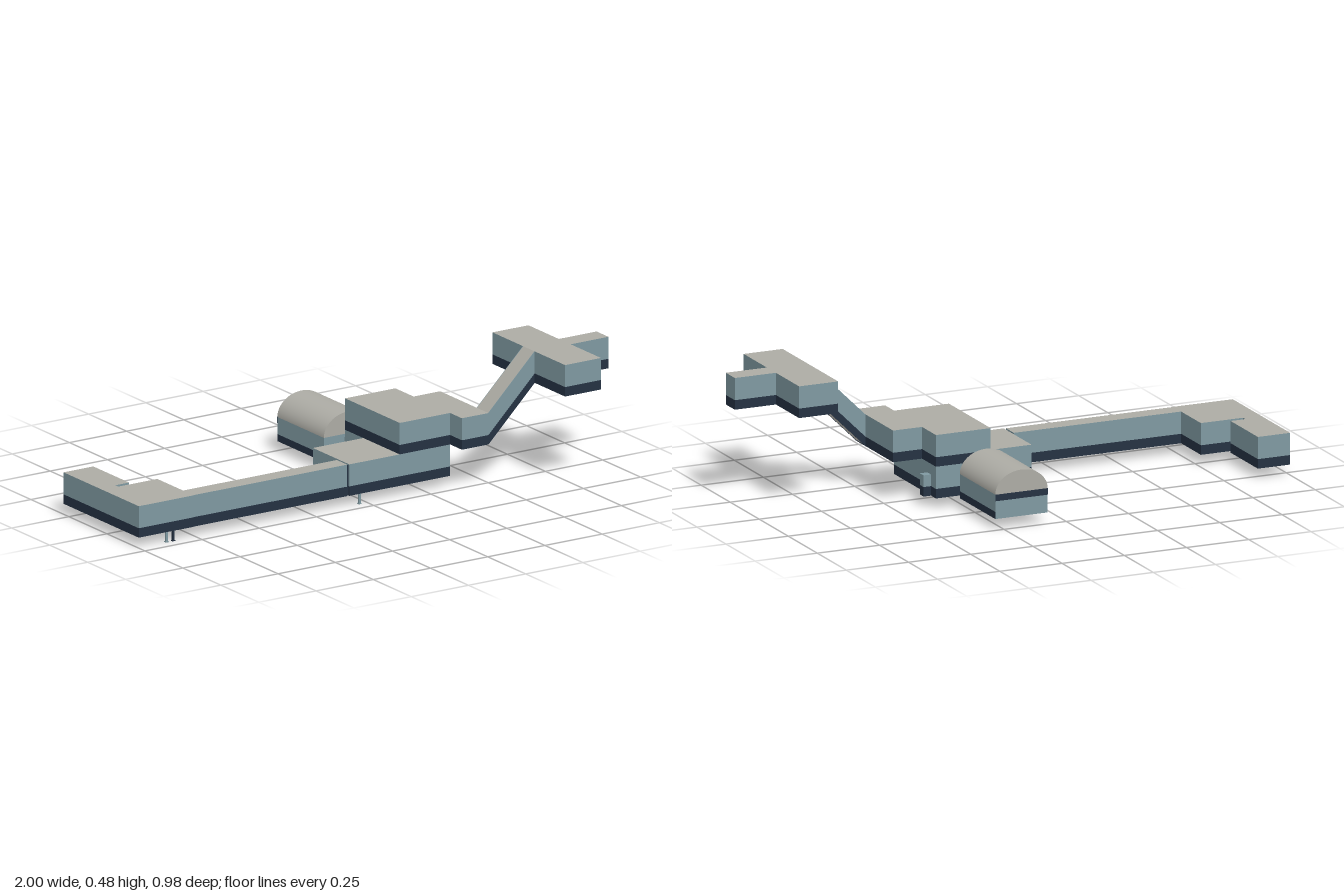
import * as THREE from 'three';

const mat = (name, color) => {
  const m = new THREE.MeshStandardMaterial({ color });
  m.name = name;
  return m;
};

export function createModel() {
  const wall = mat('blue grey wall', 0x7f99a1);
  const roof = mat('warm grey roof', 0xadaca5);
  const base = mat('navy base band', 0x243142);
  const model = new THREE.Group();

  const add = (name, geometry, material, parent = model) => {
    const mesh = new THREE.Mesh(geometry, material);
    mesh.name = name;
    parent.add(mesh);
    return mesh;
  };

  const box = (name, [x0, x1], [y0, y1], [z0, z1], material, parent) => {
    const mesh = add(name, new THREE.BoxGeometry(x1 - x0, y1 - y0, z1 - z0), material, parent);
    mesh.position.set((x0 + x1) / 2, (y0 + y1) / 2, (z0 + z1) / 2);
    return mesh;
  };

  // A flat-roofed block: navy band below, wall above, grey floor and roof
  const block = (name, x, z, y0, height = 0.12, top = roof) => {
    const group = new THREE.Group();
    group.name = name;
    model.add(group);
    const split = y0 + 0.036;
    box(name + 'Band', x, [y0, split], z, [base, base, base, roof, base, base], group);
    box(name + 'Wall', x, [split, y0 + height], z, [wall, wall, top, wall, wall, wall], group);
  };

  // Lower level
  const low = 0.04;
  block('endWing', [-1, -0.87], [-0.285, -0.05], low);
  block('endWingLink', [-1, -0.93], [-0.05, -0.03], low);
  block('endRoom', [-1, -0.76], [-0.03, 0.21], low);
  block('longCorridor', [-0.76, -0.088], [0.14, 0.208], low);
  box('corridorJoint', [-0.088, -0.08], [low, 0.155], [0.145, 0.203], base);
  block('mainRoom', [-0.08, 0.36], [-0.03, 0.21], low);
  block('mainRoomBack', [0.14, 0.36], [-0.15, -0.03], low);
  block('sideEntrance', [0.36, 0.39], [-0.108, -0.076], low, 0.08, wall);
  block('hangarLink', [0.16, 0.19], [-0.184, -0.15], low, 0.08, wall);

  // Middle level
  const mid = 0.16;
  block('upperRoom', [0.14, 0.36], [-0.15, 0.21], mid);
  block('upperRoomSide', [0.36, 0.476], [-0.03, 0.21], mid);
  block('stairLobby', [0.36, 0.476], [0.21, 0.288], mid);

  // Top level
  const high = 0.36;
  block('crossHall', [0.678, 0.835], [0.01, 0.488], high);
  block('crossArm', [0.835, 1], [0.21, 0.288], high);

  // Sloping stair passage, with steps showing underneath
  const sx0 = 0.476, sx1 = 0.678, rise = high - mid;
  const extrude = (points, z0, z1) =>
    new THREE.ExtrudeGeometry(new THREE.Shape(points.map(([x, y]) => new THREE.Vector2(x, y))),
      { depth: z1 - z0, bevelEnabled: false }).translate(0, 0, z0);
  const slope = (a, b) => [[sx0, mid + a], [sx1, high + a], [sx1, high + b], [sx0, mid + b]];
  const steps = 20;
  const profile = [];
  for (let i = 0; i < steps; i++) {
    const y = mid + rise * (i + 1) / steps;
    profile.push([sx0 + (sx1 - sx0) * i / steps, y]);
    profile.push([sx0 + (sx1 - sx0) * (i + 1) / steps, y]);
  }
  profile.push([sx1, high + 0.12], [sx0, mid + 0.12]);
  add('stairs', extrude(profile, 0.212, 0.286), roof);
  for (const [z0, z1] of [[0.21, 0.212], [0.286, 0.288]]) {
    add('stairBand', extrude(slope(0, 0.036), z0, z1), base);
    add('stairWall', extrude(slope(0.036, 0.12), z0, z1), [wall, wall]);
  }

  // Barrel-roofed hangar
  const hx = [0.07, 0.28], hz = [-0.49, -0.184], spring = 0.132;
  box('hangarBand', hx, [low, 0.067], hz, [base, base, base, roof, base, wall]);
  box('hangarWall', hx, [0.067, spring], hz, wall);
  box('hangarEndStripe', hx, [0.108, spring], [-0.493, -0.49], base);
  const barrel = add('hangarRoof',
    new THREE.CylinderGeometry(0.105, 0.105, hz[1] - hz[0], 40, 1, false, Math.PI / 2, Math.PI), roof);
  barrel.geometry.rotateX(Math.PI / 2);
  barrel.geometry.scale(1, 0.083 / 0.105, 1);
  barrel.position.set(0.175, spring, (hz[0] + hz[1]) / 2);

  // Small support posts with foot plates
  for (const [x, m] of [[-0.875, wall], [-0.846, base], [-0.032, wall]]) {
    box('post', [x - 0.004, x + 0.004], [0.003, low], [0.2, 0.208], m);
    box('postFoot', [x - 0.006, x + 0.006], [0, 0.003], [0.198, 0.21], m);
  }

  return model;
}
